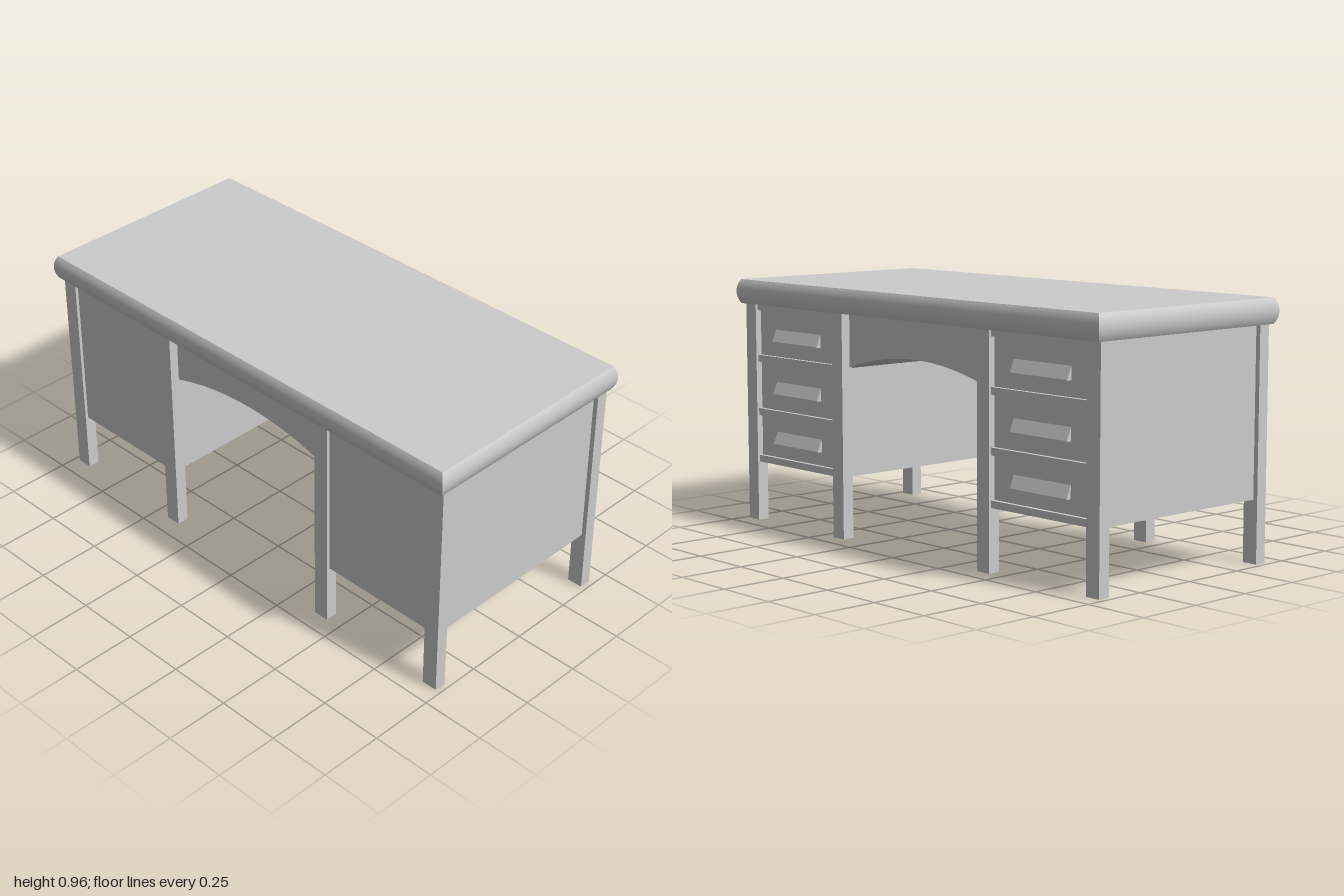
import * as THREE from 'three';

const material = new THREE.MeshStandardMaterial({ color: 0xcccccc });

function add(parent, name, geometry) {
  const mesh = new THREE.Mesh(geometry, material);
  mesh.name = name;
  parent.add(mesh);
  return mesh;
}

// Box given by its extents on each axis
function box(parent, name, x0, x1, y0, y1, z0, z1) {
  const mesh = add(parent, name, new THREE.BoxGeometry(x1 - x0, y1 - y0, z1 - z0));
  mesh.position.set((x0 + x1) / 2, (y0 + y1) / 2, (z0 + z1) / 2);
  return mesh;
}

const BOTTOM = 0.235;
const UNDER_TOP = 0.865;
const TOP = 0.96;

// Table top with bulging edges and mitred corners
function tableTop(parent) {
  const height = TOP - UNDER_TOP;
  const bulge = 0.014;
  const geometry = new THREE.BoxGeometry(0.917, height, 2, 1, 16, 1);
  const p = geometry.attributes.position;
  const radius = (height * height / 4 + bulge * bulge) / (2 * bulge);
  for (let i = 0; i < p.count; i++) {
    const y = p.getY(i);
    const inset = radius - Math.sqrt(radius * radius - y * y);
    p.setX(i, p.getX(i) - Math.sign(p.getX(i)) * inset);
    p.setZ(i, p.getZ(i) - Math.sign(p.getZ(i)) * inset);
  }
  geometry.computeVertexNormals();
  add(parent, 'tableTop', geometry).position.y = (UNDER_TOP + TOP) / 2;
}

// Vaulted block over the knee space, running the full depth
function kneeArch(parent) {
  const half = 0.4, rise = 0.068, crown = 0.718;
  const radius = (half * half + rise * rise) / (2 * rise);
  const angle = Math.asin(half / radius);
  const shape = new THREE.Shape();
  shape.moveTo(half, UNDER_TOP);
  shape.lineTo(-half, UNDER_TOP);
  shape.lineTo(-half, crown - rise);
  shape.absarc(0, crown - radius, radius, Math.PI / 2 + angle, Math.PI / 2 - angle, true);
  shape.closePath();
  const depth = 0.78;
  const geometry = new THREE.ExtrudeGeometry(shape, { depth, bevelEnabled: false, curveSegments: 32 });
  geometry.translate(0, 0, -depth / 2);
  geometry.rotateY(Math.PI / 2);
  // Smooth the vault
  const p = geometry.attributes.position, n = geometry.attributes.normal;
  for (let i = 0; i < p.count; i++) {
    if (n.getY(i) < -0.5) {
      const v = new THREE.Vector3(0, crown - radius - p.getY(i), -p.getZ(i)).normalize();
      n.setXYZ(i, v.x, v.y, v.z);
    }
  }
  add(parent, 'kneeArch', geometry);
}

// Wedge-shaped pull: slanted face, flat underside
function handleGeometry(length) {
  const shape = new THREE.Shape([
    new THREE.Vector2(-0.002, 0),
    new THREE.Vector2(0.02, 0),
    new THREE.Vector2(0.02, 0.003),
    new THREE.Vector2(-0.002, 0.054),
  ]);
  const geometry = new THREE.ExtrudeGeometry(shape, { depth: length, bevelEnabled: false });
  return geometry.translate(0, 0, -length / 2);
}

// Drawer pedestal, centred on z = 0 of its own group
function pedestal(name, z) {
  const group = new THREE.Group();
  group.name = name;
  group.position.z = z;
  const legX = [0.38, 0.427], legZ = [0.239, 0.301], inner = 0.239;

  box(group, 'cabinet', -0.415, 0.397, BOTTOM, UNDER_TOP, -0.283, 0.283);

  for (const sx of [-1, 1]) {
    for (const sz of [-1, 1]) {
      const leg = box(group, 'leg', ...legX, 0, UNDER_TOP, ...legZ);
      leg.position.x *= sx;
      leg.position.z *= sz;
    }
  }

  // Horizontal rails between the drawers
  for (const [y0, y1] of [[BOTTOM, 0.262], [0.422, 0.45], [0.636, 0.663], [0.84, UNDER_TOP]]) {
    box(group, 'rail', 0.38, 0.418, y0, y1, -inner, inner);
  }

  // Drawer fronts with their pulls
  const drawers = [[0.262, 0.422, 0.315], [0.45, 0.636, 0.513], [0.663, 0.84, 0.72]];
  for (const [y0, y1, handleY] of drawers) {
    box(group, 'drawerFront', 0.38, 0.402, y0, y1, -inner, inner);
    add(group, 'handle', handleGeometry(0.28)).position.set(0.402, handleY, 0);
  }
  return group;
}

export function createModel() {
  const desk = new THREE.Group();
  desk.name = 'desk';
  tableTop(desk);
  kneeArch(desk);
  desk.add(pedestal('leftPedestal', 0.678), pedestal('rightPedestal', -0.678));
  return desk;
}
